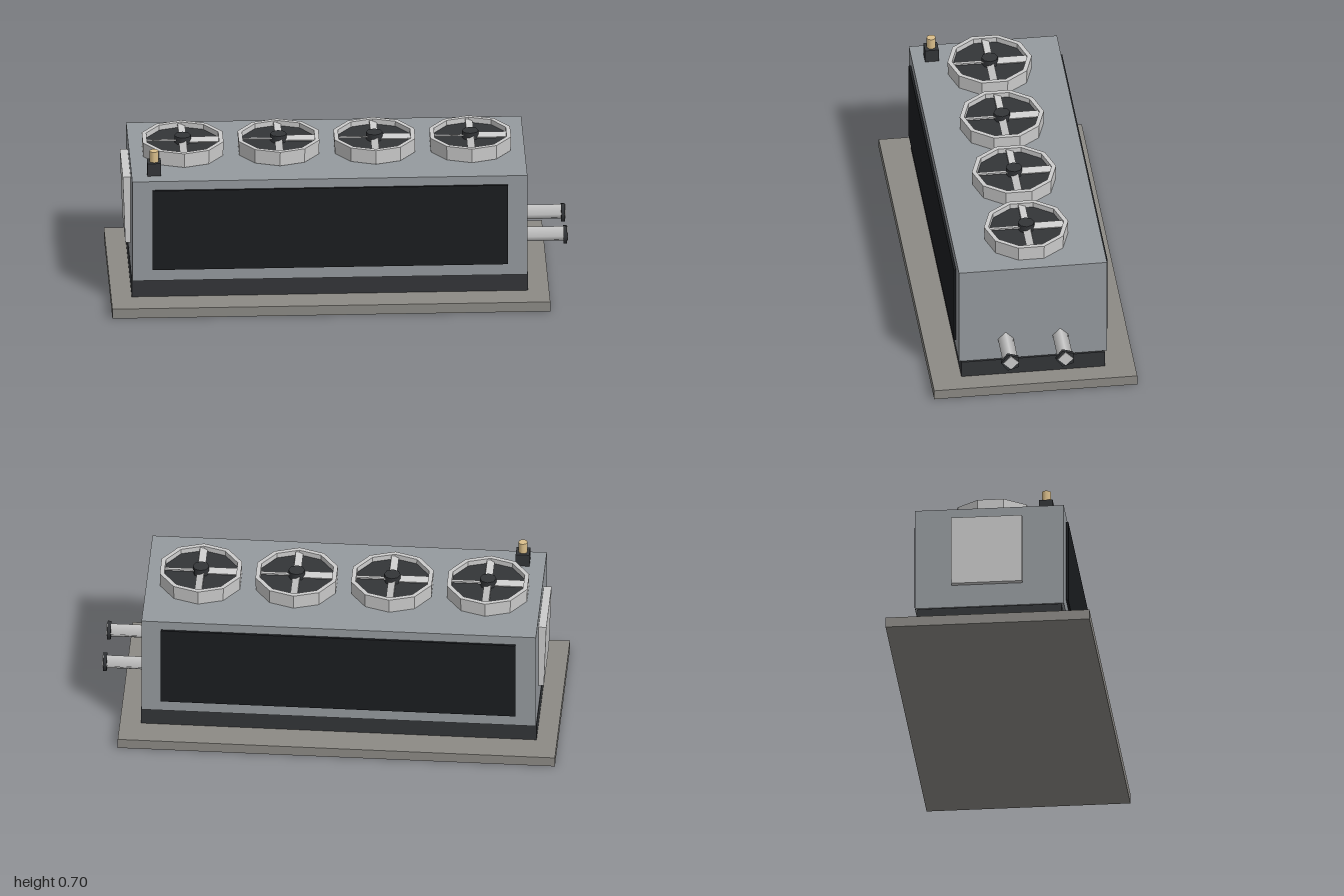
import * as THREE from 'three';

const mat = (color, extra = {}) => new THREE.MeshStandardMaterial({ color, ...extra });
const casing = mat(0x959a9e), concrete = mat(0x8c8a85), dark = mat(0x333538), coil = mat(0x1b1d20);
const metal = mat(0xbcbcbc), shroudMetal = mat(0xbcbcbc, { flatShading: true, side: THREE.DoubleSide });
const brass = mat(0xdcc08c);

function add(parent, name, geometry, material, x = 0, y = 0, z = 0) {
  const mesh = new THREE.Mesh(geometry, material);
  mesh.name = name;
  mesh.position.set(x, y, z);
  parent.add(mesh);
  return mesh;
}

// Box given by its lower and upper limits on each axis
function box(parent, name, material, [x0, x1], [y0, y1], [z0, z1]) {
  return add(parent, name, new THREE.BoxGeometry(x1 - x0, y1 - y0, z1 - z0), material,
    (x0 + x1) / 2, (y0 + y1) / 2, (z0 + z1) / 2);
}

// Fan: ten-sided shroud, recessed dark disc, four pitched blades and a hub
function makeFan() {
  const fan = new THREE.Group();
  fan.name = 'fan';
  const profile = [[0.183, 0], [0.185, 0.065], [0.165, 0.065], [0.163, 0]]
    .map(([r, y]) => new THREE.Vector2(r, y));
  add(fan, 'fanShroud', new THREE.LatheGeometry(profile, 10), shroudMetal);
  add(fan, 'fanWell', new THREE.CylinderGeometry(0.166, 0.166, 0.04, 10), dark, 0, 0.022);
  for (let i = 0; i < 4; i++) {
    const arm = new THREE.Group();
    arm.name = 'bladeArm';
    arm.rotation.y = i * Math.PI / 2;
    const blade = add(arm, 'fanBlade', new THREE.BoxGeometry(0.135, 0.006, 0.034), metal, 0.097, 0.052);
    blade.rotation.x = 0.35;
    fan.add(arm);
  }
  add(fan, 'fanHub', new THREE.CylinderGeometry(0.036, 0.036, 0.034, 8), dark, 0, 0.058);
  return fan;
}

export function createModel() {
  const model = new THREE.Group();
  model.name = 'chillerUnit';

  // Slab, plinth and cabinet
  box(model, 'slab', concrete, [-1, 0.91], [0, 0.045], [-0.446, 0.446]);
  box(model, 'plinth', dark, [-0.91, 0.818], [0.045, 0.121], [-0.315, 0.315]);
  box(model, 'cabinet', casing, [-0.908, 0.815], [0.125, 0.595], [-0.325, 0.325]);

  // Coil panels on both long sides
  for (const side of [-1, 1]) {
    const panel = box(model, 'coilPanel', coil, [-0.82, 0.73], [0.18, 0.555], [-0.005, 0.005]);
    panel.position.z = side * 0.332;
  }

  // Access panel on the end, slightly tapered downwards
  const access = box(model, 'accessPanel', metal, [-0.942, -0.908], [0.23, 0.54], [-0.165, 0.145]);
  const p = access.geometry.attributes.position;
  for (let i = 0; i < p.count; i++) if (p.getX(i) < 0 && p.getY(i) < 0) p.setX(i, -0.006);
  access.geometry.computeVertexNormals();

  // Roof fans
  for (let i = 0; i < 4; i++) {
    const fan = makeFan();
    fan.position.set(-0.675 + i * 0.418, 0.598, 0);
    model.add(fan);
  }

  // Sensor box with brass cap
  box(model, 'sensorBox', dark, [-0.84, -0.78], [0.597, 0.656], [0.21, 0.27]);
  add(model, 'sensorCap', new THREE.CylinderGeometry(0.02, 0.02, 0.05, 8), brass, -0.81, 0.68, 0.24);

  // Water pipes with end flanges
  for (const z of [-0.12, 0.12]) {
    const pipe = add(model, 'waterPipe', new THREE.CylinderGeometry(0.034, 0.034, 0.19, 4), metal, 0.905, 0.228, z);
    pipe.rotation.z = -Math.PI / 2;
    const flange = add(model, 'pipeFlange', new THREE.CylinderGeometry(0.043, 0.043, 0.016, 5), dark, 0.988, 0.226, z);
    flange.rotation.z = -Math.PI / 2;
  }
  return model;
}
